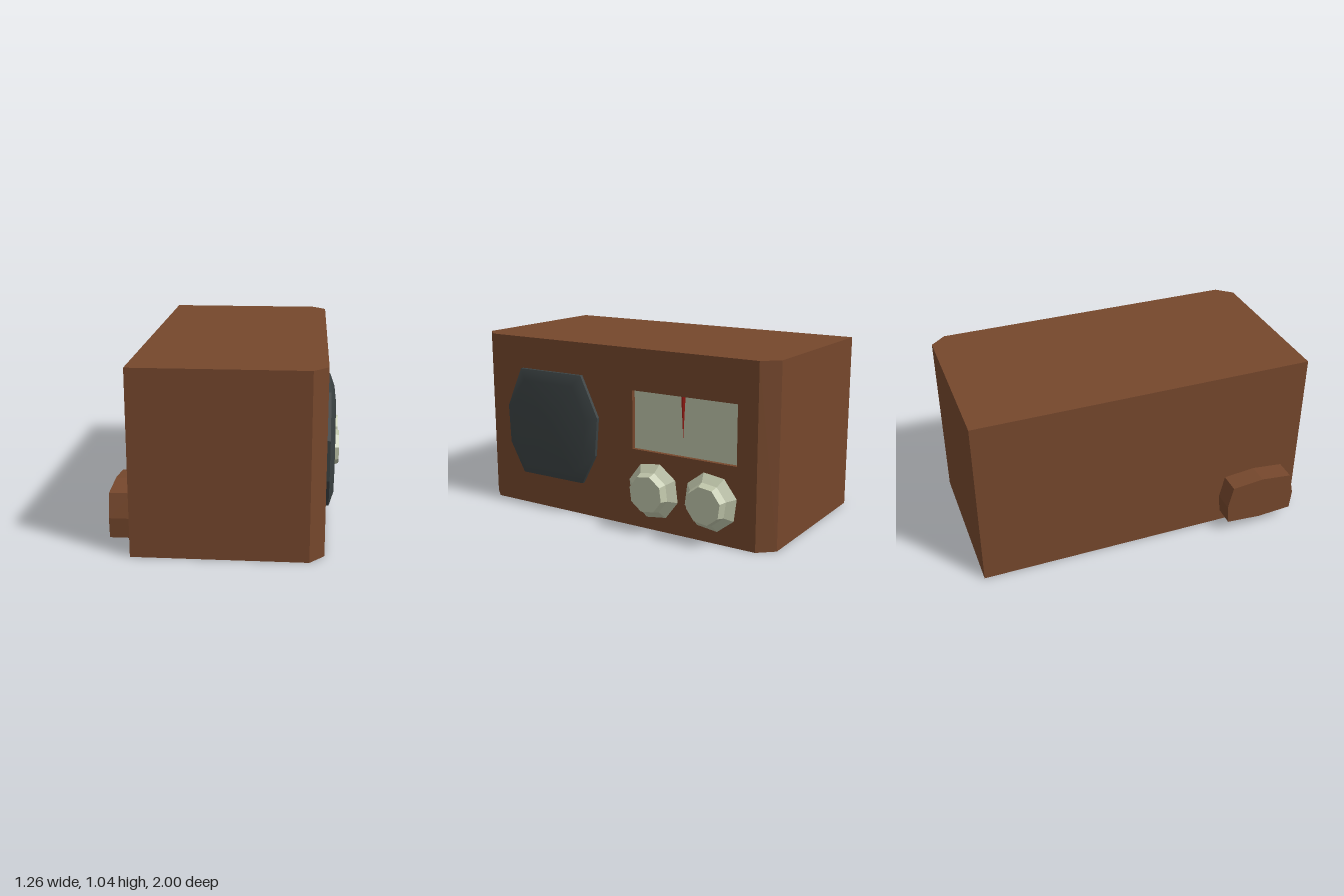
import * as THREE from 'three';

const mat = (color, flatShading = true) => new THREE.MeshStandardMaterial({ color, flatShading });
const wood = mat(0x75472c), cream = mat(0xbec4a9), red = mat(0xa01c14);
const cloth = mat(0x3b4243, false);

function add(group, name, geometry, material) {
  const mesh = new THREE.Mesh(geometry, material);
  mesh.name = name;
  group.add(mesh);
  return mesh;
}

// Shape drawn on the panel from [z, y] points
const panelShape = (pts) => new THREE.Shape(pts.map(([z, y]) => new THREE.Vector2(-z, y)));

// Push a panel shape along +x, from x0 to x1
function prism(shape, x0, x1) {
  return new THREE.ExtrudeGeometry(shape, { depth: x1 - x0, bevelEnabled: false })
    .rotateY(Math.PI / 2).translate(x0, 0, 0);
}

const rect = (z0, z1, y0, y1) => [[z0, y0], [z1, y0], [z1, y1], [z0, y1]];

// Padded speaker cover: straight rim, then a softly rounded front
function addSpeaker(group) {
  const outline = [[0.68, 0.85], [0.23, 0.85], [0.115, 0.61], [0.135, 0.38],
    [0.23, 0.2], [0.68, 0.2], [0.78, 0.38], [0.79, 0.61]];
  add(group, 'speakerRim', prism(panelShape(outline), 0.52, 0.55), mat(0x3b4243));
  const cz = 0.455, cy = 0.525, n = outline.length;
  const pos = [], index = [];
  for (const [x, s] of [[0.55, 1], [0.576, 0.8]])
    for (const [z, y] of outline) pos.push(x, cy + (y - cy) * s, cz + (z - cz) * s);
  pos.push(0.578, cy, cz);
  for (let i = 0; i < n; i++) {
    const j = (i + 1) % n;
    index.push(i, n + j, j, i, n + i, n + j, n + i, 2 * n, n + j);
  }
  // Outline runs clockwise seen from +x, so turn the triangles outward
  for (let i = 0; i < index.length; i += 3) {
    const [a, b, c] = index.slice(i, i + 3).map((k) => new THREE.Vector3().fromArray(pos, k * 3));
    if (b.sub(a).cross(c.sub(a)).x < 0) [index[i + 1], index[i + 2]] = [index[i + 2], index[i + 1]];
  }
  const geo = new THREE.BufferGeometry();
  geo.setAttribute('position', new THREE.Float32BufferAttribute(pos, 3));
  geo.setIndex(index);
  geo.computeVertexNormals();
  add(group, 'speakerCover', geo, cloth);
}

export function createModel() {
  const group = new THREE.Group();

  // Cabinet with chamfered corners, its face set back to take the panel
  const plan = new THREE.Shape([[-0.51, -1], [0.45, -1], [0.53, -0.91], [0.5, -0.91],
    [0.5, 0.91], [0.53, 0.91], [0.45, 1], [-0.51, 1]].map(([x, z]) => new THREE.Vector2(x, z)));
  add(group, 'cabinet', new THREE.ExtrudeGeometry(plan, { depth: 1.04, bevelEnabled: false })
    .rotateX(-Math.PI / 2), wood);

  // Panel with the dial window cut out
  const panel = panelShape(rect(0.91, -0.91, 0, 1.04));
  panel.holes.push(panelShape(rect(-0.12, -0.79, 0.46, 0.8)));
  add(group, 'panel', prism(panel, 0.5, 0.53), wood);

  // Dial plate and needle inside the window
  add(group, 'dial', prism(panelShape(rect(-0.12, -0.79, 0.46, 0.8)), 0.49, 0.505), cream);
  const needle = add(group, 'needle', new THREE.ConeGeometry(0.014, 0.24, 4).rotateX(Math.PI), red);
  needle.scale.x = 0.5;
  needle.position.set(0.508, 0.68, -0.443);

  addSpeaker(group);

  // Pair of eight-sided knobs with flared skirts
  const profile = [[0.11, -0.01], [0.11, 0.012], [0.168, 0.016], [0.122, 0.055], [0.108, 0.1], [0, 0.1]]
    .map(([r, h]) => new THREE.Vector2(r, h));
  for (const side of [1, -1]) {
    const geo = new THREE.LatheGeometry(profile, 8, side * Math.PI / 6).rotateZ(-Math.PI / 2);
    const knob = add(group, side > 0 ? 'innerKnob' : 'outerKnob', geo, cream);
    knob.position.set(0.53, 0.24, -0.455 + side * 0.185);
  }

  // Block on the rear wall
  add(group, 'rearBlock', prism(panelShape([[0.5, 0.075], [0.49, 0.19], [0.52, 0.325], [0.71, 0.345],
    [0.9, 0.325], [0.93, 0.19], [0.92, 0.075], [0.71, 0.06]]), -0.632, -0.5), wood);

  return group;
}
